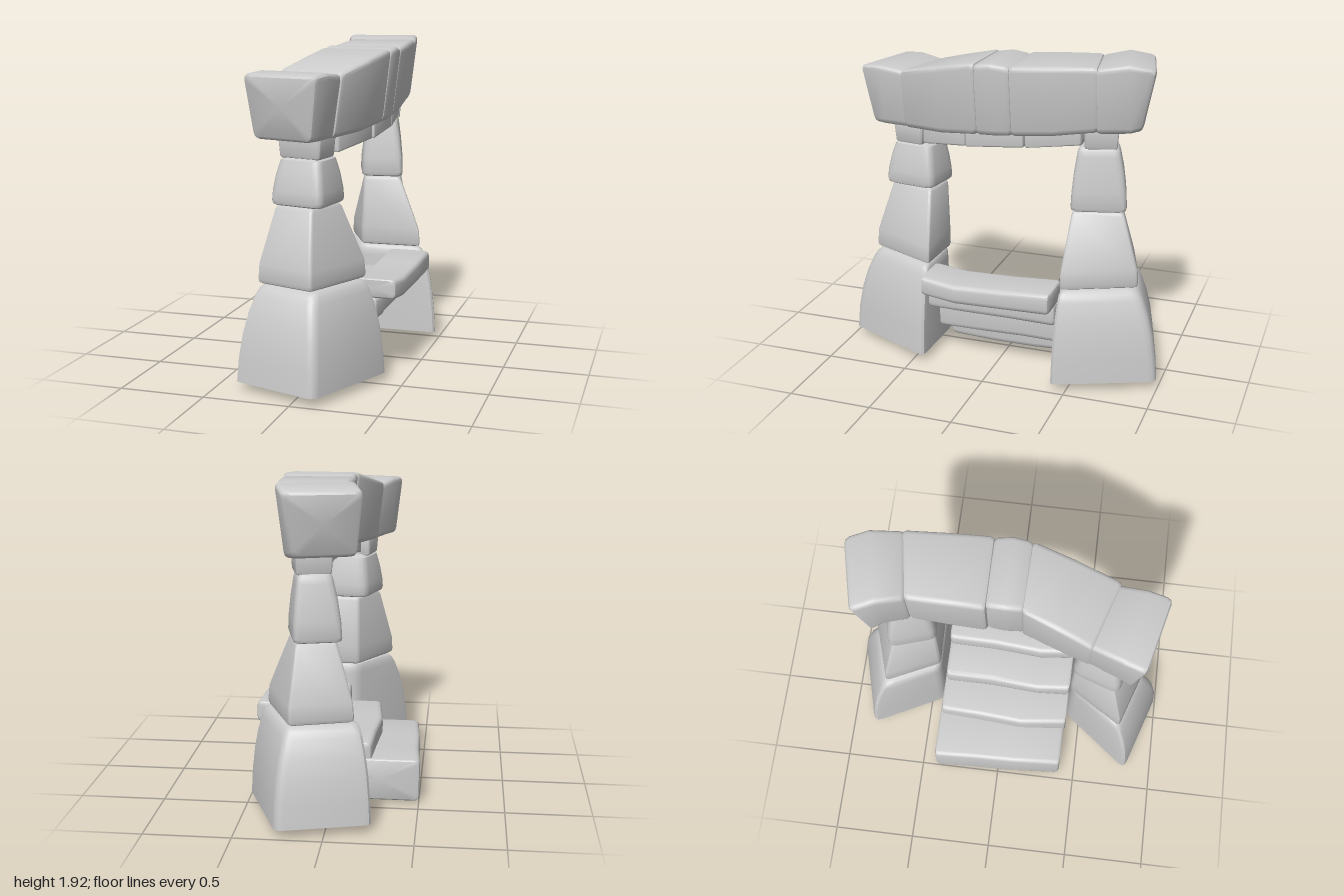
import * as THREE from 'three';
import { toCreasedNormals } from 'three/addons/utils/BufferGeometryUtils.js';

const material = new THREE.MeshStandardMaterial({ color: 0xcccccc });
const V = (x, y, z) => new THREE.Vector3(x, y, z);
const centre = (ring) => ring.reduce((s, p) => s.add(p), V(0, 0, 0)).divideScalar(ring.length);
const lerpRing = (a, b, t) => a.map((p, i) => p.clone().lerp(b[i], t));

// Shrink a ring toward its centre by roughly d units
function inset(ring, d) {
  const c = centre(ring);
  const size = ring.reduce((s, p) => s + p.distanceTo(c), 0) / ring.length;
  return ring.map((p) => p.clone().lerp(c, d / size));
}

// Round the four corners of a ring
function roundRing(ring, r, steps = 3) {
  const out = [];
  ring.forEach((p, i) => {
    const ends = [ring[(i + 3) % 4], ring[(i + 1) % 4]].map((q) =>
      p.clone().lerp(q, Math.min(0.45, r / p.distanceTo(q))));
    const curve = new THREE.QuadraticBezierCurve3(ends[0], p, ends[1]);
    out.push(...curve.getPoints(steps));
  });
  return out;
}

// Stone lofted through four-cornered rings, with bevelled ends
function stone(name, corners, { r = 0.03, bevel = [0.025, 0.025] } = {}) {
  const base = corners.map((c) => roundRing(c, r));
  const n = base.length;
  const endRings = (end, next, b) => {
    if (!b) return [end];
    const length = centre(end).distanceTo(centre(next));
    return [[0, 1], [0.3, 0.3], [1, 0]].map(([along, inn]) =>
      inset(lerpRing(end, next, Math.min(0.45, (along * b) / length)), inn * b));
  };
  const rings = [
    ...endRings(base[0], base[1], bevel[0]),
    ...base.slice(1, -1),
    ...endRings(base[n - 1], base[n - 2], bevel[1]).reverse(),
  ];
  // Winding follows the ring direction relative to the loft direction
  const q = corners[0];
  const normal = q[2].clone().sub(q[0]).cross(q[3].clone().sub(q[1]));
  const flip = normal.dot(centre(base[n - 1]).sub(centre(base[0]))) < 0;
  const pos = [];
  const tri = (a, b, c) => (flip ? [a, c, b] : [a, b, c]).forEach((p) => pos.push(p.x, p.y, p.z));
  const m = base[0].length;
  const first = rings[0], last = rings[rings.length - 1];
  const c0 = centre(first), c1 = centre(last);
  for (let j = 0; j < m; j++) {
    const k = (j + 1) % m;
    for (let i = 0; i < rings.length - 1; i++) {
      const a = rings[i], b = rings[i + 1];
      tri(a[j], a[k], b[k]);
      tri(a[j], b[k], b[j]);
    }
    tri(c0, first[k], first[j]);
    tri(c1, last[j], last[k]);
  }
  const geo = new THREE.BufferGeometry();
  geo.setAttribute('position', new THREE.Float32BufferAttribute(pos, 3));
  const mesh = new THREE.Mesh(toCreasedNormals(geo, 0.65), material);
  mesh.name = name;
  return mesh;
}

// Pillar block between a lower and an upper plan; profile is [height, blend] pairs
function block(name, y0, y1, lower, upper, profile, options) {
  const rings = profile.map(([h, t]) =>
    lower.map(([x, z], i) => V(
      THREE.MathUtils.lerp(x, upper[i][0], t),
      THREE.MathUtils.lerp(y0, y1, h),
      THREE.MathUtils.lerp(z, upper[i][1], t))));
  return stone(name, rings, options);
}

const bulge = [[0, 0], [0.25, 0.08], [0.5, 0.24], [0.7, 0.45], [0.88, 0.72], [1, 1]];
const taper = [[0, 0.03], [0.25, 0.1], [1, 1]];
const dome = [[0, 0], [0.3, 0.12], [0.6, 0.4], [0.85, 0.75], [1, 1]];
const straight = [[0, 0], [1, 1]];

function pillar(name, blocks) {
  const group = new THREE.Group();
  group.name = name;
  blocks.forEach((b) => group.add(block(...b)));
  return group;
}

// Vertical section of a lintel stone: left and right edge in plan, bottom, top, lower taper
const section = (xl, zl, xr, zr, yb, yt, lean = 0) => [
  V(xl + 0.04, yb, zl - lean), V(xr - 0.05, yb, zr - lean), V(xr, yt, zr), V(xl, yt, zl)];

// Section across z for steps and lintel underside slabs
const slice = (z, xl, xr, yb, yt) => [V(xl, yb, z), V(xr, yb, z), V(xr, yt, z), V(xl, yt, z)];

export function createModel() {
  const model = new THREE.Group();
  model.name = 'stoneArch';

  // Front pillar
  model.add(pillar('frontPillar', [
    ['frontBase', 0.05, 0.6,
      [[-0.39, 0.83], [0.14, 1], [0.4, 0.42], [-0.06, 0.41]],
      [[-0.27, 0.72], [0.09, 0.84], [0.28, 0.43], [-0.06, 0.42]], bulge, { r: 0.05, bevel: [0, 0.035] }],
    ['frontLowerBlock', 0.6, 1.04,
      [[-0.28, 0.74], [0.08, 0.86], [0.28, 0.42], [-0.07, 0.41]],
      [[-0.19, 0.66], [0.05, 0.74], [0.13, 0.46], [-0.07, 0.42]], taper, { r: 0.02 }],
    ['frontUpperBlock', 1.04, 1.31,
      [[-0.22, 0.69], [0.11, 0.77], [0.16, 0.44], [-0.12, 0.4]],
      [[-0.17, 0.65], [0.08, 0.71], [0.11, 0.47], [-0.1, 0.44]], dome, { r: 0.05, bevel: [0.025, 0.04] }],
    ['frontCapital', 1.3, 1.43,
      [[-0.17, 0.64], [0.08, 0.7], [0.11, 0.52], [-0.13, 0.48]],
      [[-0.18, 0.65], [0.09, 0.71], [0.12, 0.51], [-0.13, 0.48]], straight, { r: 0.015, bevel: [0.012, 0.012] }],
  ]));

  // Back pillar
  model.add(pillar('backPillar', [
    ['backBase', 0.05, 0.6,
      [[-0.27, -0.86], [0.26, -1], [0.5, -0.41], [-0.04, -0.41]],
      [[-0.19, -0.75], [0.2, -0.85], [0.4, -0.43], [-0.02, -0.42]], bulge, { r: 0.05, bevel: [0, 0.035] }],
    ['backLowerBlock', 0.6, 1.04,
      [[-0.16, -0.75], [0.2, -0.86], [0.39, -0.43], [0, -0.42]],
      [[-0.05, -0.68], [0.17, -0.75], [0.24, -0.46], [0.01, -0.43]], taper, { r: 0.02 }],
    ['backUpperBlock', 1.04, 1.42,
      [[-0.09, -0.7], [0.18, -0.77], [0.26, -0.45], [0, -0.42]],
      [[-0.02, -0.66], [0.16, -0.71], [0.21, -0.48], [0.02, -0.46]], dome, { r: 0.04 }],
    ['backCapital', 1.41, 1.55,
      [[-0.02, -0.65], [0.17, -0.7], [0.22, -0.52], [0.02, -0.49]],
      [[-0.03, -0.65], [0.17, -0.71], [0.23, -0.52], [0.02, -0.48]], straight, { r: 0.015, bevel: [0.012, 0.012] }],
  ]));

  // Curved lintel of five stones
  const lintel = new THREE.Group();
  lintel.name = 'lintel';
  const lintelStones = [
    ['lintelFrontEnd', [
      section(-0.33, 0.79, 0.13, 0.9, 1.41, 1.77, 0.06),
      section(-0.29, 0.66, 0.16, 0.76, 1.41, 1.78),
      section(-0.21, 0.46, 0.18, 0.59, 1.41, 1.76)]],
    ['lintelFrontMiddle', [
      section(-0.23, 0.49, 0.19, 0.62, 1.41, 1.77),
      section(-0.16, 0.28, 0.27, 0.35, 1.42, 1.83),
      section(-0.1, 0.09, 0.33, 0.1, 1.45, 1.88)]],
    ['lintelKeystone', [
      section(-0.09, 0.11, 0.33, 0.11, 1.45, 1.87),
      section(-0.1, 0, 0.34, 0, 1.455, 1.885),
      section(-0.09, -0.11, 0.33, -0.11, 1.46, 1.87)]],
    ['lintelBackMiddle', [
      section(-0.11, -0.1, 0.335, -0.1, 1.46, 1.875),
      section(-0.11, -0.32, 0.32, -0.35, 1.48, 1.89),
      section(-0.11, -0.54, 0.3, -0.61, 1.52, 1.9)]],
    ['lintelBackEnd', [
      section(-0.11, -0.53, 0.3, -0.59, 1.51, 1.89),
      section(-0.16, -0.68, 0.27, -0.78, 1.52, 1.92),
      section(-0.21, -0.82, 0.22, -0.92, 1.53, 1.89, -0.08)]],
  ];
  lintelStones.forEach(([name, rings]) => lintel.add(stone(name, rings, { r: 0.035, bevel: [0.025, 0.025] })));

  // Thin slabs under the lintel
  [
    [slice(0.5, -0.08, 0.13, 1.32, 1.45), slice(0.19, 0, 0.24, 1.365, 1.48)],
    [slice(0.185, 0, 0.25, 1.365, 1.48), slice(-0.17, 0.02, 0.26, 1.395, 1.5)],
    [slice(-0.18, 0.02, 0.26, 1.395, 1.5), slice(-0.5, 0, 0.22, 1.43, 1.55)],
  ].forEach((rings) => lintel.add(stone('undersideSlab', rings, { r: 0.012, bevel: [0.01, 0.01] })));
  model.add(lintel);

  // Four worn steps, each [z, left, right, bottom, top] along its length
  const steps = new THREE.Group();
  steps.name = 'steps';
  [
    [[0.4, -0.465, -0.03, 0.01, 0.24], [0.1, -0.485, -0.02, 0, 0.25], [-0.15, -0.49, -0.02, 0, 0.25], [-0.41, -0.505, -0.02, 0.01, 0.265]],
    [[0.41, -0.22, 0.16, 0.15, 0.36], [0.12, -0.25, 0.16, 0.15, 0.35], [-0.15, -0.23, 0.16, 0.155, 0.355], [-0.4, -0.22, 0.16, 0.15, 0.36]],
    [[0.41, -0.03, 0.33, 0.35, 0.48], [0.2, -0.04, 0.33, 0.345, 0.455], [-0.1, -0.02, 0.33, 0.345, 0.465], [-0.39, -0.02, 0.33, 0.34, 0.475]],
    [[0.41, 0.18, 0.44, 0.475, 0.59], [0.2, 0.17, 0.44, 0.445, 0.56], [-0.1, 0.19, 0.45, 0.455, 0.575], [-0.39, 0.19, 0.455, 0.465, 0.59]],
  ].forEach((rows) => steps.add(stone('step', rows.map((row) => slice(...row)), { r: 0.03, bevel: [0.02, 0.02] })));
  model.add(steps);

  return model;
}
